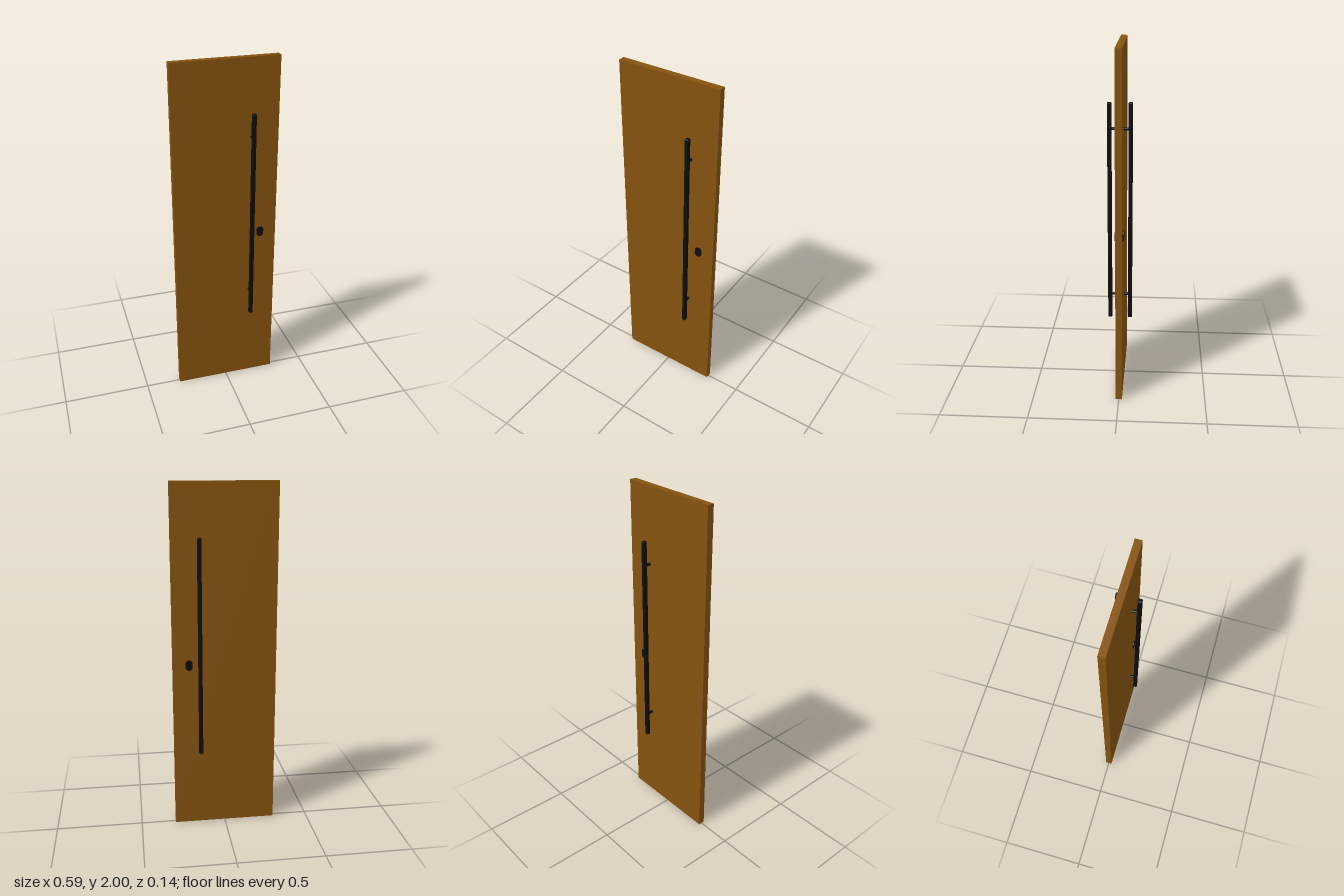
import * as THREE from 'three';
import { RoundedBoxGeometry } from 'three/addons/geometries/RoundedBoxGeometry.js';

export function createModel() {
  const wood = new THREE.MeshStandardMaterial({ name: 'brownWood', color: 0x85530f });
  const metal = new THREE.MeshStandardMaterial({ name: 'blackMetal', color: 0x0d0d0d });
  const model = new THREE.Group();
  model.name = 'door';

  const add = (parent, name, geometry, material, x, y, z) => {
    const mesh = new THREE.Mesh(geometry, material);
    mesh.name = name;
    mesh.position.set(x, y, z);
    parent.add(mesh);
    return mesh;
  };

  // Door slab
  const thickness = 0.037;
  add(model, 'doorPanel', new THREE.BoxGeometry(0.594, 2, thickness), wood, 0, 1, 0);

  // Long pull handle on each face: softened square bar on two round posts
  const handleX = 0.1435, barZ = 0.0565;
  for (const side of [1, -1]) {
    const handle = new THREE.Group();
    handle.name = side > 0 ? 'frontHandle' : 'backHandle';
    model.add(handle);
    add(handle, 'handleBar', new RoundedBoxGeometry(0.023, 1.247, 0.023, 3, 0.005),
      metal, handleX, 1.085, side * barZ);
    for (const y of [0.61, 1.57]) {
      const post = add(handle, 'handlePost', new THREE.CylinderGeometry(0.008, 0.008, 0.042, 20),
        metal, handleX, y, side * 0.034);
      post.rotation.x = Math.PI / 2;
    }
  }

  // Oval lock plate on each face
  const r = 0.0195, h = 0.0105, depth = 0.009;
  const oval = new THREE.Shape();
  oval.absarc(0, h, r, 0, Math.PI);
  oval.absarc(0, -h, r, Math.PI, Math.PI * 2);
  oval.closePath();
  const plate = new THREE.ExtrudeGeometry(oval, { depth, bevelEnabled: false, curveSegments: 16 });
  plate.translate(0, 0, -depth / 2);
  for (const side of [1, -1]) {
    add(model, side > 0 ? 'frontLockPlate' : 'backLockPlate', plate, metal,
      0.2035, 0.989, side * 0.0205);
  }

  return model;
}
